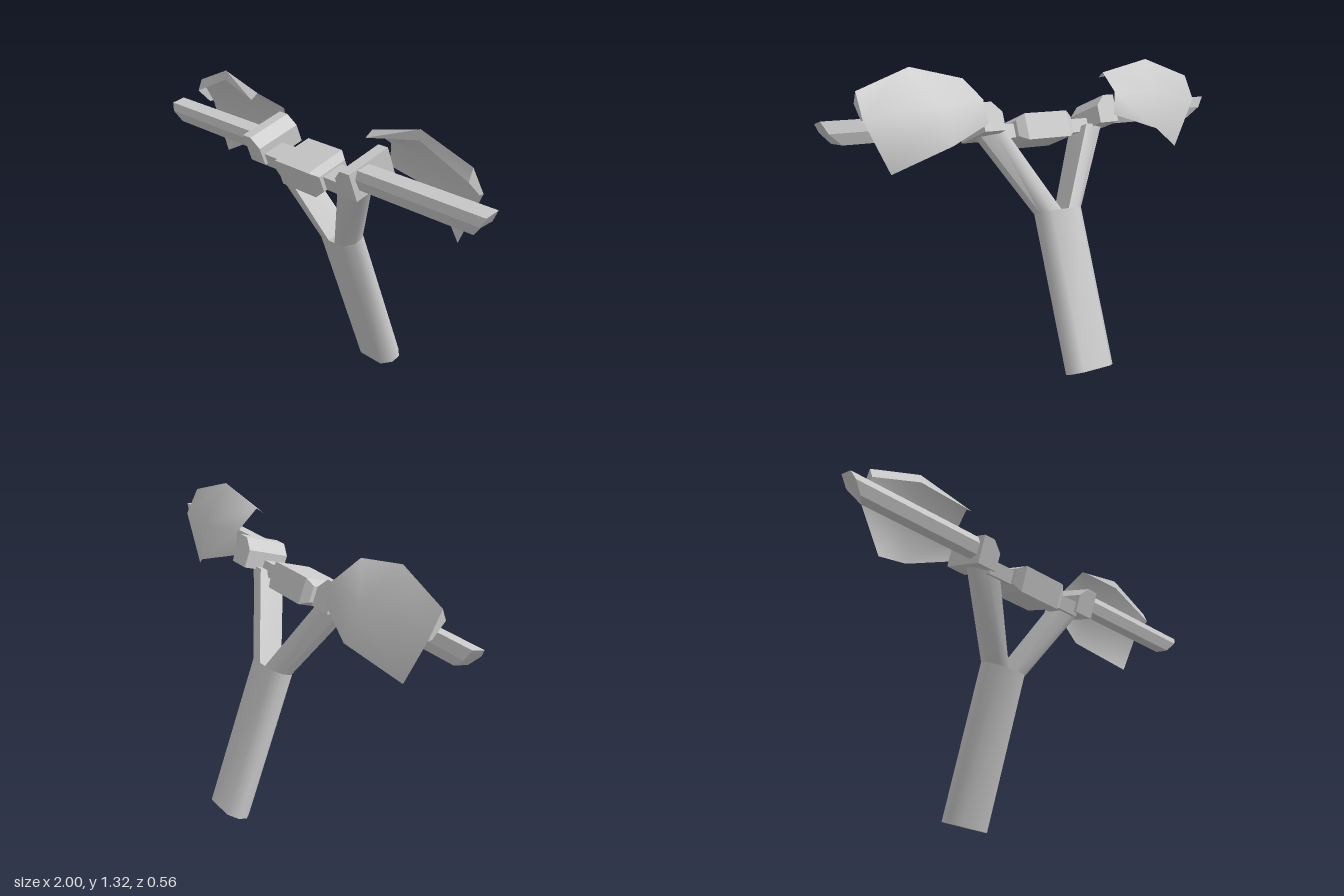
import * as THREE from 'three';
import { toCreasedNormals } from 'three/addons/utils/BufferGeometryUtils.js';

const TILT = 0.34; // forward lean of the whole column
const material = new THREE.MeshStandardMaterial({ color: 0xcccccc, side: THREE.DoubleSide });

function finish(positions, crease) {
  const g = new THREE.BufferGeometry();
  g.setAttribute('position', new THREE.Float32BufferAttribute(positions, 3));
  return toCreasedNormals(g, crease);
}

// Closed solid through matching rings of [x, y, z] points, facing outwards
function loft(rings, crease = 0.3) {
  const tris = [];
  const n = rings[0].length;
  for (let i = 0; i < rings.length - 1; i++) {
    for (let j = 0; j < n; j++) {
      const k = (j + 1) % n;
      const [a, b, c, d] = [rings[i][j], rings[i][k], rings[i + 1][k], rings[i + 1][j]];
      tris.push([a, b, c], [a, c, d]);
    }
  }
  const end = rings[rings.length - 1];
  for (let j = 1; j < n - 1; j++) {
    tris.push([rings[0][0], rings[0][j + 1], rings[0][j]], [end[0], end[j], end[j + 1]]);
  }
  const v = (p) => new THREE.Vector3(...p);
  const volume = tris.reduce((s, [a, b, c]) => s + v(a).dot(v(b).cross(v(c))), 0);
  if (volume < 0) tris.forEach((t) => t.reverse());
  return finish(tris.flat(2), crease);
}

// Open sheet through rows of [x, y, z] points
function sheet(rows, crease) {
  const tris = [];
  for (let i = 0; i < rows.length - 1; i++) {
    for (let j = 0; j < rows[i].length - 1; j++) {
      const [a, b, c, d] = [rows[i][j], rows[i + 1][j], rows[i + 1][j + 1], rows[i][j + 1]];
      tris.push(a, b, c, a, c, d);
    }
  }
  return finish(tris.flat(), crease);
}

// Leaning cross-section: [x, depth] pairs around a centre height and z
const section = (pairs, y, z) =>
  pairs.map(([x, d]) => [x, y - d * Math.sin(TILT), z + d * Math.cos(TILT)]);

function add(parent, name, geometry) {
  const m = new THREE.Mesh(geometry, material);
  m.name = name;
  parent.add(m);
  return m;
}

function tilted(parent, name, geometry, x, y, z) {
  const m = add(parent, name, geometry);
  m.position.set(x, y, z);
  m.rotation.x = TILT;
  return m;
}

// Rectangle in the local y-z plane at a given x
const rect = (x, h, d, y = 0, z = 0) =>
  [[x, y - h, z - d], [x, y - h, z + d], [x, y + h, z + d], [x, y + h, z - d]];

function side(name) {
  const g = new THREE.Group();
  g.name = name;

  // Fork arm spreading from the column to the bar
  const foot = [[0.02, 0.06], [0.07, 0.06], [0.11, 0.02], [0.11, -0.025], [0.07, -0.06], [0.02, -0.06]];
  const head = [[0.2, 0.055], [0.27, 0.055], [0.325, 0.02], [0.325, -0.025], [0.27, -0.06], [0.215, -0.06]];
  add(g, 'forkArm', loft([section(foot, 0.69, 0.01), section(head, 1.03, 0.145)], 0.9));

  // Bar mount, cut away at its inner top edge
  const mount = [[0.25, -0.07], [0.35, -0.07], [0.35, 0.055], [0.295, 0.055], [0.25, 0.01]];
  const mountRing = (z) => mount.map(([x, y]) => [x, y, z]);
  tilted(g, 'barMount', loft([mountRing(-0.105), mountRing(0.105)]), 0, 1.09, 0.15);

  // Six-sided grip with a slanted end
  const hex = [[1.13, 0.165, 1.0], [1.115, 0.225, 1.0], [1.08, 0.235, 0.98],
    [1.035, 0.215, 0.94], [1.03, 0.175, 0.91], [1.08, 0.158, 0.97]];
  add(g, 'grip', loft([hex.map(([y, z]) => [0.33, y, z]), hex.map(([y, z, x]) => [x, y, z])]));

  // Cupped hand guard: rim strip, then the swept shell behind it
  const ridge = [[0.37, 1.27, 0.17], [0.62, 1.325, 0.163], [0.86, 1.24, 0.145]];
  add(g, 'guardRim', sheet([
    [[0.37, 1.245, 0.203], [0.62, 1.285, 0.168], [0.86, 1.19, 0.165]],
    ridge,
  ], 0.3));
  add(g, 'guardShell', sheet([
    ridge,
    [[0.345, 1.19, 0.05], [0.56, 1.175, 0.012], [0.86, 1.13, 0.085]],
    [[0.33, 1.09, 0.035], [0.53, 1.02, -0.027], [0.75, 0.91, 0.085]],
  ], 1.2));
  add(g, 'guardEnd', sheet([
    [[0.86, 1.19, 0.165], [0.86, 1.24, 0.145]],
    [[0.86, 1.13, 0.105], [0.86, 1.13, 0.085]],
  ], 0.3));
  return g;
}

export function createModel() {
  const model = new THREE.Group();
  model.name = 'handlebarAssembly';

  // Eight-sided steering column
  const oct = [[0.07, 0.06], [0.11, 0.02], [0.11, -0.025], [0.07, -0.06],
    [-0.07, -0.06], [-0.11, -0.025], [-0.11, 0.02], [-0.07, 0.06]];
  add(model, 'steeringColumn', loft([section(oct, 0.03, -0.225), section(oct, 0.69, 0.01)], 0.9));

  // Cross bar between the arms and the central clamp with bevelled ends
  tilted(model, 'crossBar', new THREE.BoxGeometry(0.54, 0.062, 0.1), 0, 1.025, 0.17);
  tilted(model, 'centreClamp', loft([
    rect(-0.145, 0.035, 0.07), rect(-0.11, 0.058, 0.093),
    rect(0.11, 0.058, 0.093), rect(0.145, 0.035, 0.07),
  ]), 0, 1.03, 0.168);

  // Matching left and right sides
  const right = side('rightSide');
  right.scale.x = -1;
  model.add(side('leftSide'), right);
  return model;
}
